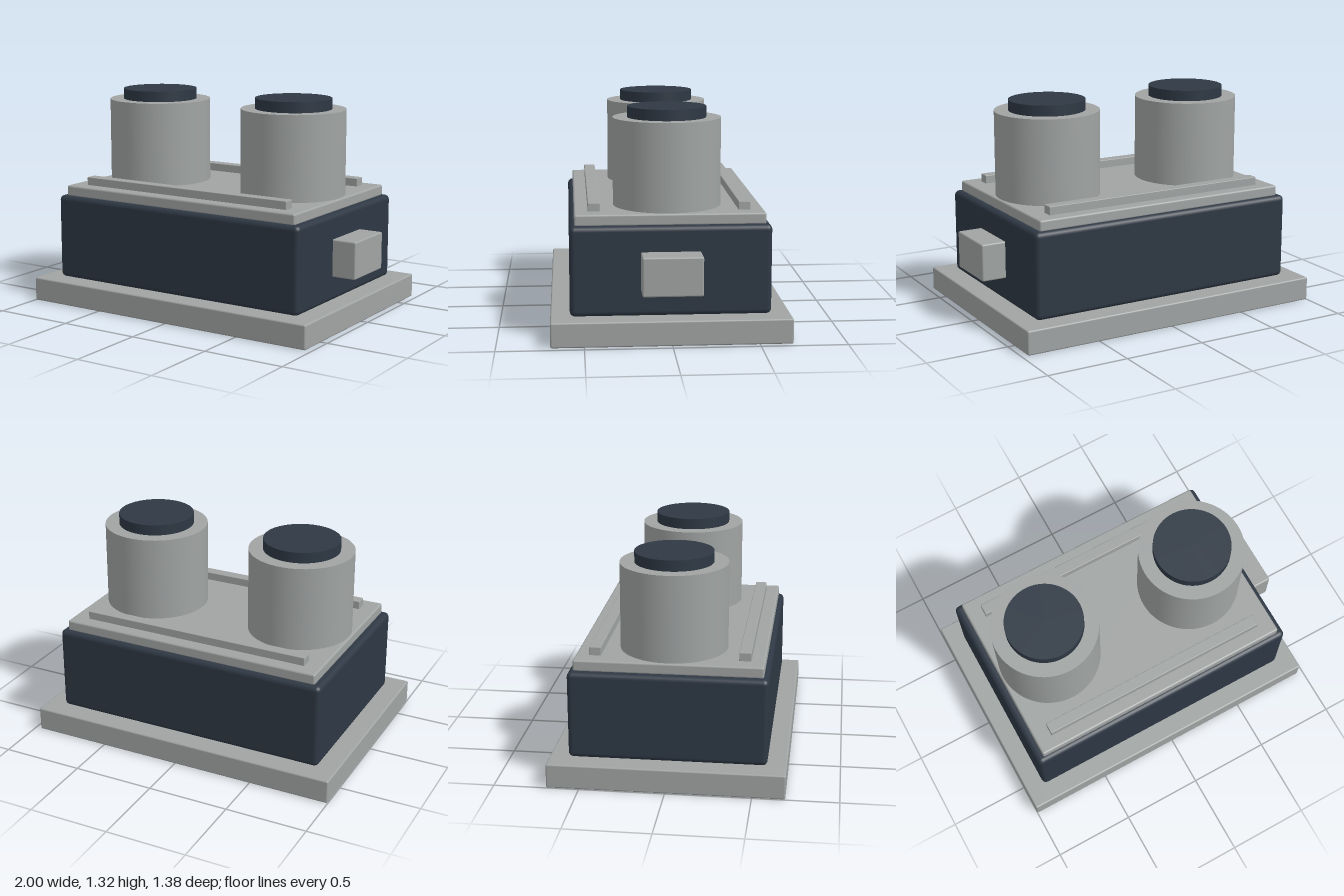
import * as THREE from 'three';
import { RoundedBoxGeometry } from 'three/addons/geometries/RoundedBoxGeometry.js';

export function createModel() {
  const model = new THREE.Group();
  model.name = 'twinCylinderUnit';

  const grey = new THREE.MeshStandardMaterial({ color: 0xa0a4a3 });
  grey.name = 'metal grey';
  const navy = new THREE.MeshStandardMaterial({ color: 0x2e3844 });
  navy.name = 'dark navy';

  const add = (name, geometry, material, x, y, z) => {
    const mesh = new THREE.Mesh(geometry, material);
    mesh.name = name;
    mesh.position.set(x, y, z);
    model.add(mesh);
  };
  // Box with softened edges, given by its min and max on each axis
  const box = (name, material, [x0, x1], [y0, y1], [z0, z1], radius) =>
    add(name, new RoundedBoxGeometry(x1 - x0, y1 - y0, z1 - z0, 3, radius), material,
      (x0 + x1) / 2, (y0 + y1) / 2, (z0 + z1) / 2);
  // Upright cylinder between two heights
  const drum = (name, material, x, radius, y0, y1) =>
    add(name, new THREE.CylinderGeometry(radius, radius, y1 - y0, 64), material, x, (y0 + y1) / 2, 0);

  // Base, housing and lid, stacked
  box('basePlate', grey, [-1, 0.965], [0, 0.147], [-0.692, 0.692], 0.01);
  box('housing', navy, [-0.885, 0.85], [0.147, 0.67], [-0.58, 0.58], 0.03);
  box('topPlate', grey, [-0.84, 0.808], [0.665, 0.733], [-0.55, 0.55], 0.012);

  // Connector block on the left side
  box('sideConnector', grey, [0.8, 1], [0.295, 0.522], [-0.173, 0.173], 0.01);

  // Rails along the front and back of the lid
  for (const side of [-1, 1]) {
    box(side > 0 ? 'frontRail' : 'backRail', grey, [-0.74, 0.705], [0.715, 0.783],
      [side * 0.435 - 0.035, side * 0.435 + 0.035], 0.004);
  }

  // Two drums with dark caps
  for (const [label, x] of [['right', -0.51], ['left', 0.475]]) {
    drum(label + 'Cylinder', grey, x, 0.318, 0.72, 1.25);
    drum(label + 'Cap', navy, x, 0.232, 1.24, 1.315);
  }
  return model;
}
